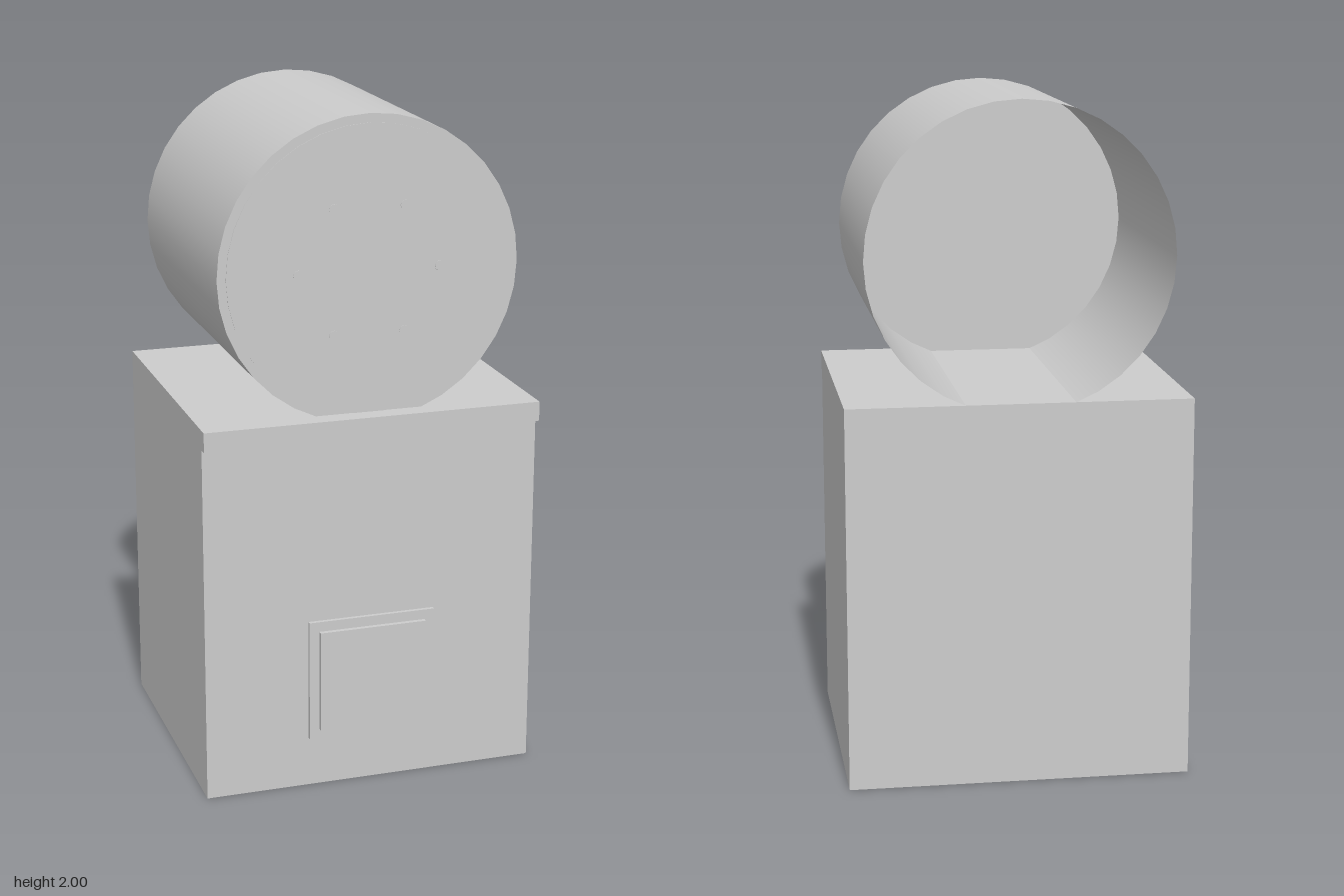
import * as THREE from 'three';

export function createModel() {
  const group = new THREE.Group();
  const grey = new THREE.MeshStandardMaterial({ color: 0xcccccc });
  grey.name = 'lightGrey';
  const greyOpen = new THREE.MeshStandardMaterial({ color: 0xcccccc, side: THREE.DoubleSide });
  greyOpen.name = 'lightGreyOpen';

  const add = (name, geometry, x, y, z, material = grey) => {
    const mesh = new THREE.Mesh(geometry, material);
    mesh.name = name;
    mesh.position.set(x, y, z);
    group.add(mesh);
    return mesh;
  };
  // Box given by width and its y and z ranges, centred on x
  const block = (name, w, y0, y1, z0, z1) =>
    add(name, new THREE.BoxGeometry(w, y1 - y0, z1 - z0), 0, (y0 + y1) / 2, (z0 + z1) / 2);

  // Pedestal with a lip along the top of its front
  block('pedestal', 1.01, 0, 1.138, -0.446, 0.418);
  block('frontLip', 1.01, 1.08, 1.138, 0.418, 0.446);

  // Stepped door plate
  block('doorFrame', 0.386, 0.152, 0.522, 0.418, 0.43);
  block('doorPanel', 0.326, 0.182, 0.492, 0.43, 0.444);

  // Thin-walled drum, open at the back
  const R = 0.446, cy = 2 - R, front = 0.387, back = -0.446;
  const wall = new THREE.CylinderGeometry(R, R, front - back, 36, 1, true).rotateX(Math.PI / 2);
  add('drumWall', wall, 0, cy, (front + back) / 2, greyOpen);
  add('drumEnd', new THREE.CircleGeometry(R, 36), 0, cy, front, greyOpen);

  // Raised face on the closed end with a ring of six studs
  const disc = (r, t, n) => new THREE.CylinderGeometry(r, r, t, n).rotateX(Math.PI / 2);
  add('drumFace', disc(0.42, 0.002, 36), 0, cy, front + 0.001);
  for (let i = 0; i < 6; i++) {
    const a = (i * Math.PI) / 3;
    add('stud', disc(0.015, 0.004, 12), 0.21 * Math.cos(a), cy + 0.21 * Math.sin(a), front + 0.002);
  }
  return group;
}
